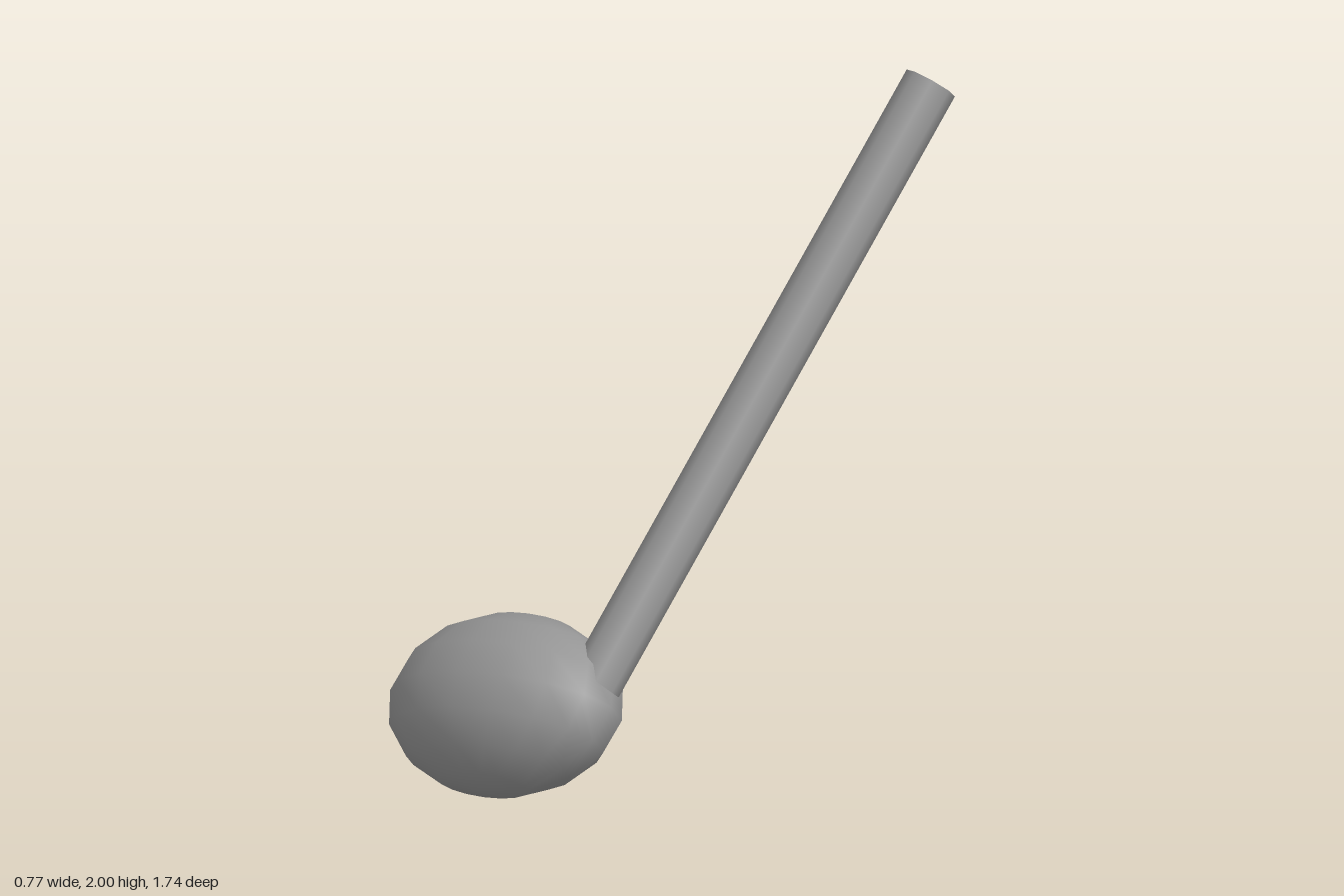
import * as THREE from 'three';

export function createModel() {
  const model = new THREE.Group();
  model.name = 'leaningNote';
  const material = new THREE.MeshStandardMaterial({ color: 0x959595 });

  // Whole note leans backwards about the centre of its head
  const note = new THREE.Group();
  note.name = 'note';
  note.position.set(0, 0.272, 0.606);
  note.rotation.x = THREE.MathUtils.degToRad(-40.1);
  model.add(note);

  // Oval head, tilted up towards the stem
  const head = new THREE.Mesh(new THREE.SphereGeometry(1, 16, 8), material);
  head.name = 'noteHead';
  head.scale.set(0.4, 0.278, 0.248);
  head.rotation.z = THREE.MathUtils.degToRad(17);
  note.add(head);

  // Eight-sided stem, its foot buried in the head
  const foot = 0.05, top = 2.19;
  const stem = new THREE.Mesh(new THREE.CylinderGeometry(0.081, 0.081, top - foot, 8), material);
  stem.name = 'stem';
  stem.position.set(0.275, (foot + top) / 2, 0);
  note.add(stem);

  return model;
}
